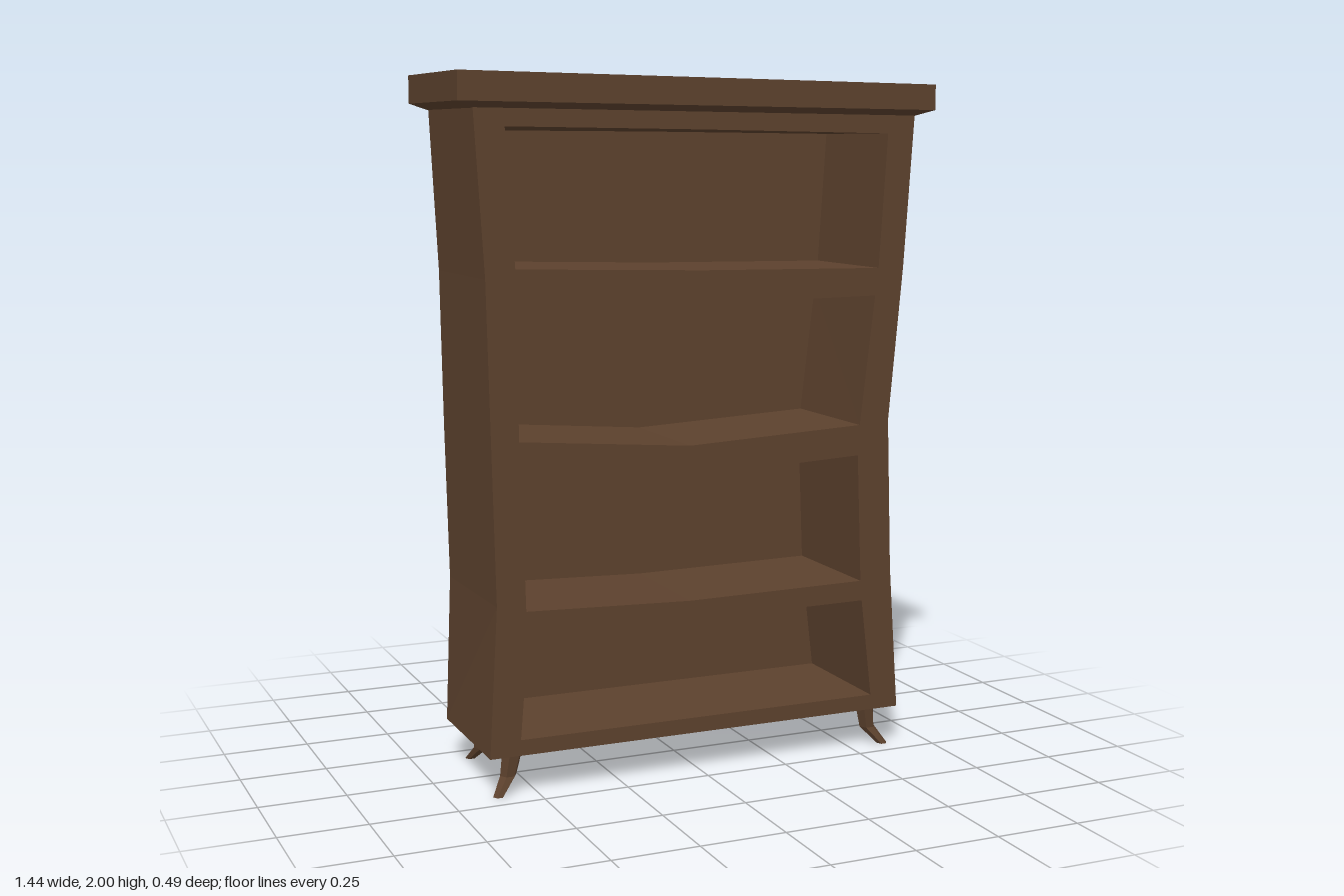
import * as THREE from 'three';
import { mergeGeometries } from 'three/addons/utils/BufferGeometryUtils.js';

const FRONT = 0.21, BACK = -0.205, NICHE_BACK = -0.17;
const at = (loop, z) => loop.map(([x, y]) => [x, y, z]);

// flat-shaded geometry from a list of triangle corners
function facets(points) {
  const g = new THREE.BufferGeometry();
  g.setAttribute('position', new THREE.Float32BufferAttribute(points.flat(), 3));
  g.computeVertexNormals();
  return g;
}

// walls between two matching loops
function loft(a, b, inward = false) {
  const tris = [];
  a.forEach((p, i) => {
    const j = (i + 1) % a.length;
    const quad = [p, b[i], b[j], p, b[j], a[j]];
    tris.push(...(inward ? quad.reverse() : quad));
  });
  return facets(tris);
}

// upright panel with optional holes
function panel(loop, z, holes = [], flip = false) {
  const v = (l) => l.map(([x, y]) => new THREE.Vector2(x, y));
  const faces = THREE.ShapeUtils.triangulateShape(v(loop), holes.map(v));
  const all = at([...loop, ...holes.flat()], z);
  return facets(faces.flatMap((f) => (flip ? [...f].reverse() : f).map((i) => all[i])));
}

// fan across a convex ring
function fan(ring, flip = false) {
  const tris = [];
  for (let i = 1; i < ring.length - 1; i++) {
    tris.push(...(flip ? [ring[0], ring[i + 1], ring[i]] : [ring[0], ring[i], ring[i + 1]]));
  }
  return facets(tris);
}

export function createModel() {
  const group = new THREE.Group();
  const wood = new THREE.MeshStandardMaterial({ color: 0x5c412d });
  wood.name = 'dark wood';
  const add = (name, parts) => {
    const mesh = new THREE.Mesh(mergeGeometries(parts), wood);
    mesh.name = name;
    group.add(mesh);
  };

  // warped case outlines, counter-clockwise from bottom left
  const frontOutline = [
    [-0.645, 0.12], [0.645, 0.12], [0.615, 0.55], [0.6, 1.0], [0.642, 1.45],
    [0.672, 1.89], [-0.668, 1.905], [-0.64, 1.45], [-0.63, 1.0], [-0.62, 0.55],
  ];
  const backOutline = [
    [-0.645, 0.12], [0.648, 0.12], [0.63, 0.55], [0.628, 1.0], [0.645, 1.45],
    [0.672, 1.89], [-0.668, 1.905], [-0.645, 1.45], [-0.638, 1.0], [-0.628, 0.55],
  ];

  // shelf openings: bottom left, middle, right, then top right, middle, left
  const niches = [
    [[-0.555, 0.165], [0, 0.165], [0.555, 0.165], [0.52, 0.46], [0, 0.455], [-0.53, 0.465]],
    [[-0.535, 0.53], [-0.04, 0.513], [0.515, 0.52], [0.5, 0.9], [0, 0.875], [-0.545, 0.915]],
    [[-0.55, 1.005], [-0.04, 0.963], [0.505, 0.99], [0.55, 1.37], [0, 1.362], [-0.555, 1.395]],
    [[-0.555, 1.475], [0, 1.458], [0.56, 1.45], [0.585, 1.838], [0, 1.848], [-0.58, 1.855]],
  ];
  // how far each ceiling drops toward the back: right, middle, left
  const drops = [[0.003, 0.007, 0.004], [0.006, 0.024, 0.012], [0.003, 0.017, 0.012], [0, 0.004, 0.008]];

  add('case', [
    panel(frontOutline, FRONT, niches),
    panel(backOutline, BACK, [], true),
    loft(at(frontOutline, FRONT), at(backOutline, BACK)),
  ]);
  niches.forEach((niche, n) => {
    const rear = niche.map(([x, y], i) => [x, i < 3 ? y : y - drops[n][i - 3]]);
    add('shelfNiche' + (n + 1), [
      loft(at(niche, FRONT), at(rear, NICHE_BACK), true),
      panel(rear, NICHE_BACK),
    ]);
  });

  // tilted top board with a bevelled underside
  const ring = (x, z, yl, yr) => [[-x, yl, z], [x, yr, z], [x, yr, -z], [-x, yl, -z]];
  const top = ring(0.72, 0.245, 2.0, 1.978);
  top[3][0] = -0.713;
  const rim = ring(0.72, 0.245, 1.921, 1.905);
  rim[3][0] = -0.713;
  const neck = ring(0.67, 0.207, 1.903, 1.888);
  add('topBoard', [fan(top), loft(top, rim), loft(rim, neck)]);

  // splayed feet: [x, y, z, radius] down each leg
  const legs = {
    front: [[0.563, 0.125, 0.157, 0.03], [0.575, 0.05, 0.153, 0.024], [0.613, 0, 0.18, 0.016]],
    back: [[0.56, 0.125, -0.11, 0.03], [0.562, 0.045, -0.132, 0.024], [0.582, 0, -0.18, 0.016]],
  };
  for (const [place, path] of Object.entries(legs)) {
    for (const side of [1, -1]) {
      const rings = path.map(([x, y, z, r]) => Array.from({ length: 6 }, (_, i) => {
        const a = (i / 6) * Math.PI * 2;
        return [side * x + r * Math.cos(a), y, z - r * Math.sin(a)];
      }));
      add(place + (side > 0 ? 'LeftLeg' : 'RightLeg'), [
        loft(rings[0], rings[1]), loft(rings[1], rings[2]), fan(rings[2], true),
      ]);
    }
  }
  return group;
}
